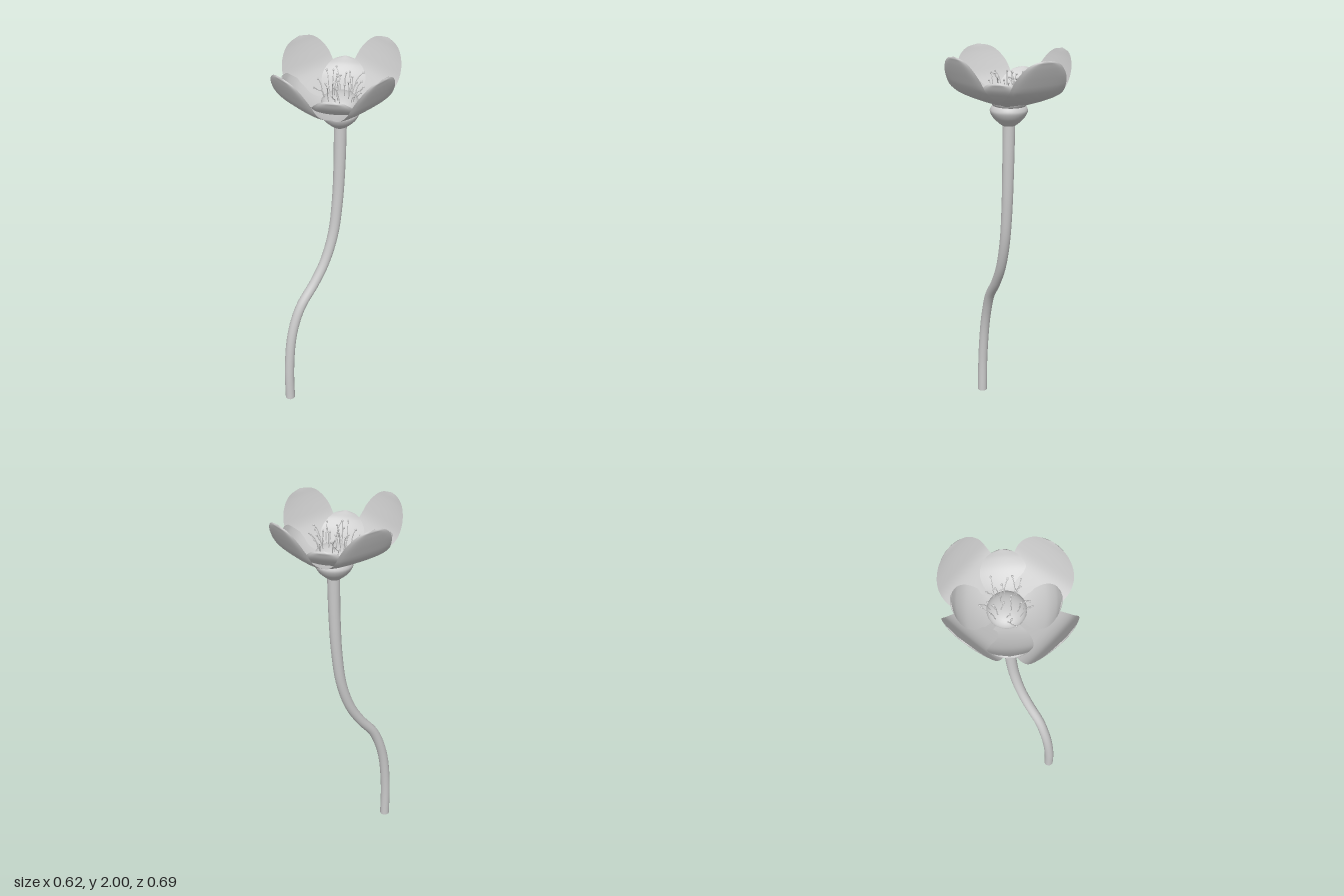
import * as THREE from 'three';

const material = new THREE.MeshStandardMaterial({ color: 0xcccccc, side: THREE.DoubleSide });
const V = (x, y, z) => new THREE.Vector3(x, y, z);

function addMesh(parent, geometry, name) {
  const mesh = new THREE.Mesh(geometry, material);
  mesh.name = name;
  parent.add(mesh);
  return mesh;
}

// Petal growing along +z; each station is [reach, height, half width]
function petalGeometry(stations, thickness, cup) {
  const curve = new THREE.CatmullRomCurve3(stations.map(s => V(...s)));
  const rows = 28, cols = 16, positions = [], indices = [];
  for (const side of [0, 1]) {
    const start = positions.length / 3;
    for (let i = 0; i <= rows; i++) {
      const p = curve.getPoint(i / rows), t = curve.getTangent(i / rows);
      const length = Math.hypot(t.x, t.y) || 1;
      for (let j = 0; j <= cols; j++) {
        const v = (j / cols) * 2 - 1;
        const edge = (1 - v ** 6) * Math.min(1, (rows - i) / 2);
        // Edges curl inwards, the underside is set back by the thickness
        const offset = cup * v * v * Math.sin(Math.PI * i / rows) - side * thickness * edge;
        positions.push(v * Math.max(p.z, 0.001),
          p.y + offset * t.x / length, p.x - offset * t.y / length);
      }
    }
    for (let i = 0; i < rows; i++) for (let j = 0; j < cols; j++) {
      const a = start + i * (cols + 1) + j, b = a + cols + 1;
      if (side === 0) indices.push(a, b, a + 1, b, b + 1, a + 1);
      else indices.push(a, a + 1, b, b, a + 1, b + 1);
    }
  }
  const geometry = new THREE.BufferGeometry();
  geometry.setAttribute('position', new THREE.Float32BufferAttribute(positions, 3));
  geometry.setIndex(indices);
  geometry.computeVertexNormals();
  return geometry;
}

// Each placement is [angle in degrees, x, z, reach scale]
function addPetals(parent, geometry, name, placements) {
  for (const [angle, x, z, reach] of placements) {
    const petal = addMesh(parent, geometry, name);
    petal.position.set(x, 0, z);
    petal.rotation.y = THREE.MathUtils.degToRad(angle);
    petal.scale.z = reach;
  }
}

export function createModel() {
  const flower = new THREE.Group();
  flower.name = 'flower';

  // Curved stem, slightly thicker towards the flower
  const path = new THREE.CatmullRomCurve3([
    V(-0.025, 0, 0.322), V(-0.028, 0.2, 0.319), V(-0.03, 0.4, 0.298), V(-0.028, 0.52, 0.268),
    V(-0.022, 0.62, 0.225), V(-0.014, 0.73, 0.14), V(-0.007, 0.84, 0.075), V(0, 1, 0.022),
    V(0.003, 1.2, -0.006), V(0.004, 1.42, -0.019), V(0.003, 1.66, -0.025)]);
  const rings = 80, sides = 20;
  const stem = new THREE.TubeGeometry(path, rings, 0.026, sides);
  const pos = stem.attributes.position, p = V(0, 0, 0);
  for (let i = 0; i < pos.count; i++) {
    const u = Math.floor(i / (sides + 1)) / rings, c = path.getPointAt(u);
    p.fromBufferAttribute(pos, i).sub(c).multiplyScalar(1 + 0.24 * Math.max(0, u * 2 - 1)).add(c);
    pos.setXYZ(i, p.x, p.y, p.z);
  }
  addMesh(flower, stem, 'stem');
  const cap = addMesh(flower, new THREE.CircleGeometry(0.026, sides), 'stemEnd');
  cap.position.set(-0.025, 0.0005, 0.322);
  cap.rotation.x = Math.PI / 2;

  // Receptacle under the petals
  const profile = new THREE.SplineCurve([[0.03, 1.63], [0.05, 1.645], [0.078, 1.672], [0.094, 1.7],
    [0.094, 1.718], [0.08, 1.737], [0.045, 1.75], [0.001, 1.752]].map(q => new THREE.Vector2(...q)));
  const cup = addMesh(flower, new THREE.LatheGeometry(profile.getPoints(28), 32), 'receptacle');
  cup.position.set(0.002, 0, -0.022);

  // Four broad outer petals that bend upwards
  const outer = petalGeometry([[0.02, 1.732, 0.03], [0.08, 1.748, 0.09], [0.15, 1.773, 0.138],
    [0.215, 1.803, 0.156], [0.255, 1.838, 0.157], [0.288, 1.9, 0.145], [0.312, 1.955, 0.108],
    [0.322, 1.983, 0.068], [0.328, 1.997, 0.004]], 0.007, 0.006);
  addPetals(flower, outer, 'outerPetal',
    [[-2, -0.002, -0.01, 1], [96, 0, 0.02, 0.92], [180, -0.01, -0.012, 1.01], [269, 0, -0.026, 0.94]]);

  // Four rounded inner petals on the diagonals
  const inner = petalGeometry([[0.03, 1.745, 0.02], [0.07, 1.752, 0.055], [0.11, 1.762, 0.087],
    [0.155, 1.782, 0.106], [0.195, 1.808, 0.106], [0.228, 1.845, 0.084], [0.242, 1.872, 0.055],
    [0.249, 1.887, 0.005]], 0.009, 0.012);
  addPetals(flower, inner, 'innerPetal',
    [[40, 0, -0.022, 0.97], [136, 0, -0.022, 0.98], [222, 0, -0.022, 1], [313, 0, -0.022, 1.1]]);

  // Domed centre
  const dome = addMesh(flower, new THREE.SphereGeometry(0.093, 32, 20), 'dome');
  dome.position.set(0, 1.757, -0.025);
  dome.scale.y = 0.55;

  // Curved stamens with small round tips
  const stamens = new THREE.Group();
  stamens.name = 'stamens';
  stamens.position.set(0, 0, -0.025);
  flower.add(stamens);
  const tip = new THREE.SphereGeometry(0.0055, 10, 8);
  for (const [count, root, reach, height] of [[13, 0.072, 0.115, 1.87], [8, 0.048, 0.075, 1.88], [4, 0.02, 0.03, 1.885]]) {
    for (let i = 0; i < count; i++) {
      const wobble = Math.sin(i * 2.4 + count);
      const a = (i / count) * Math.PI * 2 + 0.2 * wobble, b = a + 0.25 * Math.cos(i * 1.7);
      const end = reach + 0.012 * wobble, top = height + 0.02 * Math.cos(i * 3.1);
      const at = (angle, r, y) => V(Math.sin(angle) * r, y, Math.cos(angle) * r);
      const curve = new THREE.CatmullRomCurve3([at(a, root, 1.77), at(a, root + 0.012, 1.815),
        at((a + b) / 2, (root + end) / 2 + 0.004, top - 0.025), at(b, end, top)]);
      addMesh(stamens, new THREE.TubeGeometry(curve, 12, 0.0022, 6), 'filament');
      addMesh(stamens, tip, 'anther').position.copy(curve.getPoint(1));
    }
  }
  return flower;
}
